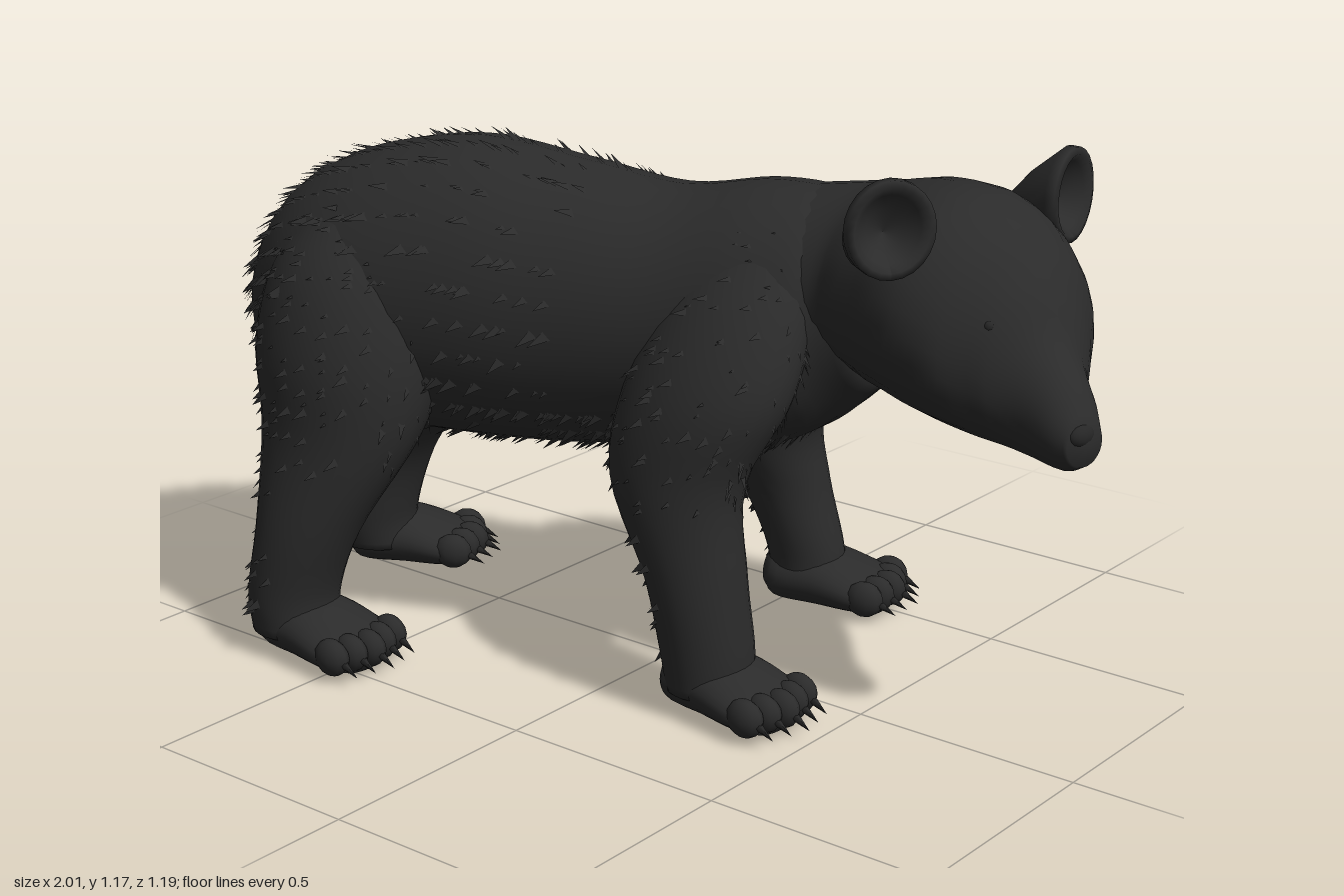
import * as THREE from 'three';
import { mergeGeometries } from 'three/addons/utils/BufferGeometryUtils.js';

const furMat = new THREE.MeshStandardMaterial({ color: 0x2b2b2b, side: THREE.DoubleSide });
furMat.name = 'black fur';
const darkMat = new THREE.MeshStandardMaterial({ color: 0x262626 });
darkMat.name = 'dark skin';

const SIDES = 28;
let seed = 7;
const rand = () => (seed = (seed * 16807) % 2147483647) / 2147483647;

// Smooth skin through oval sections [x, y, z, r1, r2].
// upright: rings lie flat (r1 along x, r2 along z); otherwise they stand
// across the path (r1 vertical, r2 sideways).
function loft(sections, upright, steps = 28) {
  const path = new THREE.CatmullRomCurve3(sections.map(s => new THREE.Vector3(s[0], s[1], s[2])), false, 'catmullrom');
  const radii = new THREE.CatmullRomCurve3(sections.map(s => new THREE.Vector3(s[3], s[4], 0)), false, 'catmullrom');
  const pos = [], idx = [], up = new THREE.Vector3(0, 1, 0);
  const axisAt = t => (upright ? up.clone() : path.getTangent(t).setY(0).normalize());
  for (let i = 0; i <= steps; i++) {
    const t = i / steps, c = path.getPoint(t), r = radii.getPoint(t);
    const u = upright ? new THREE.Vector3(0, 0, 1) : new THREE.Vector3().crossVectors(up, axisAt(t));
    const v = upright ? new THREE.Vector3(1, 0, 0) : up;
    for (let j = 0; j < SIDES; j++) {
      const a = (j / SIDES) * Math.PI * 2;
      const p = c.clone().addScaledVector(u, Math.cos(a) * r.y).addScaledVector(v, Math.sin(a) * r.x);
      pos.push(p.x, p.y, p.z);
    }
  }
  for (let i = 0; i < steps; i++) {
    for (let j = 0; j < SIDES; j++) {
      const a = i * SIDES + j, b = i * SIDES + ((j + 1) % SIDES);
      idx.push(a, b, a + SIDES, b, b + SIDES, a + SIDES);
    }
  }
  // Slightly domed end caps
  [0, 1].forEach(t => {
    const r = radii.getPoint(t);
    const p = path.getPoint(t).addScaledVector(axisAt(t), (t ? 0.3 : -0.3) * Math.min(r.x, r.y));
    const pole = pos.length / 3, base = t * steps * SIDES;
    pos.push(p.x, p.y, p.z);
    for (let j = 0; j < SIDES; j++) {
      const a = base + j, b = base + ((j + 1) % SIDES);
      if (t) idx.push(pole, a, b); else idx.push(pole, b, a);
    }
  });
  const g = new THREE.BufferGeometry();
  g.setAttribute('position', new THREE.Float32BufferAttribute(pos, 3));
  g.setIndex(idx);
  g.computeVertexNormals();
  return g;
}

// Pointed tufts lying backward and down over a skin, where keep(p) allows
function tufts(geo, count, length, keep) {
  const P = geo.attributes.position, N = geo.attributes.normal, out = [];
  const p = new THREE.Vector3(), q = new THREE.Vector3(), n = new THREE.Vector3();
  for (let i = 0; i < count; i++) {
    const k = Math.floor(rand() * (P.count - SIDES - 2));
    p.fromBufferAttribute(P, k).lerp(q.fromBufferAttribute(P, k + SIDES), rand());
    n.fromBufferAttribute(N, k);
    const len = length * (0.6 + 0.8 * rand());
    const flow = new THREE.Vector3(-0.8, -0.6, 0.25 + (rand() - 0.5) * 0.6);
    flow.addScaledVector(n, -flow.dot(n)).normalize();
    if (!keep(p)) continue;
    const side = new THREE.Vector3().crossVectors(flow, n).multiplyScalar(len * 0.28);
    const root = p.clone().addScaledVector(n, -0.006);
    const tip = p.clone().addScaledVector(flow, len).addScaledVector(n, len * 0.38);
    const a = root.clone().add(side), b = root.clone().sub(side);
    out.push(a.x, a.y, a.z, tip.x, tip.y, tip.z, b.x, b.y, b.z);
  }
  const g = new THREE.BufferGeometry();
  g.setAttribute('position', new THREE.Float32BufferAttribute(out, 3));
  g.computeVertexNormals();
  return g;
}

function add(parent, name, geo, mat = furMat) {
  const m = new THREE.Mesh(geo, mat);
  m.name = name;
  parent.add(m);
  return m;
}

// Paw pointing along +x, with five toes and claws
function makePaw(name, x, z, yaw) {
  const paw = new THREE.Group();
  paw.name = name;
  add(paw, 'sole', loft([[-0.1, 0.07, 0, 0.04, 0.05], [-0.065, 0.07, 0, 0.062, 0.085], [0.03, 0.072, 0, 0.066, 0.1],
    [0.12, 0.058, 0, 0.052, 0.108], [0.18, 0.048, 0, 0.036, 0.092]], false, 14));
  const toes = [], claws = [];
  for (let i = -2; i <= 2; i++) {
    const tx = 0.18 - Math.abs(i) * 0.012, tz = i * 0.043;
    toes.push(new THREE.SphereGeometry(0.034, 10, 8).scale(1.3, 1.2, 0.85).translate(tx, 0.06, tz));
    claws.push(new THREE.ConeGeometry(0.012, 0.055, 6).rotateZ(-Math.PI / 2 - 0.5).translate(tx + 0.05, 0.045, tz));
  }
  add(paw, 'toes', mergeGeometries(toes));
  add(paw, 'claws', mergeGeometries(claws), darkMat);
  paw.position.set(x, 0, z);
  paw.rotation.y = yaw;
  return paw;
}

// Cupped round ear, opening along its own +z, its back tapering down into the head
function makeEar(name, x, z, yaw) {
  const profile = [[0, -0.14], [0.035, -0.12], [0.068, -0.065], [0.09, 0], [0.089, 0.02], [0.076, 0.024], [0.062, 0.01],
    [0.04, -0.015], [0, -0.03]].map(([r, y]) => new THREE.Vector2(r, y));
  const geo = new THREE.LatheGeometry(profile, 24).rotateX(Math.PI / 2).scale(1, 1.08, 1);
  const p = geo.attributes.position;
  for (let i = 0; i < p.count; i++) p.setY(i, p.getY(i) + 0.45 * Math.min(0, p.getZ(i)));
  geo.computeVertexNormals();
  const ear = add(new THREE.Group(), name, geo);
  ear.position.set(x, 1.077, z);
  ear.rotation.y = yaw;
  return ear;
}

export function createModel() {
  const bear = new THREE.Group();
  bear.name = 'bear';

  // Torso, running diagonally from rump to chest
  const torso = loft([[-0.93, 0.69, 0.195, 0.08, 0.06], [-0.895, 0.705, 0.196, 0.175, 0.14], [-0.82, 0.745, 0.194, 0.24, 0.212],
    [-0.65, 0.77, 0.175, 0.3, 0.275], [-0.42, 0.785, 0.11, 0.325, 0.27], [-0.2, 0.77, 0.03, 0.305, 0.255],
    [0, 0.765, -0.04, 0.275, 0.25], [0.18, 0.785, -0.1, 0.28, 0.255], [0.32, 0.81, -0.14, 0.245, 0.235],
    [0.44, 0.84, -0.15, 0.17, 0.17]], false, 48);
  add(bear, 'torso', torso);
  add(bear, 'torsoFur', tufts(torso, 2800, 0.038, p =>
    p.x < -0.5 || (p.x < -0.1 && rand() < 0.6) || (p.y < 0.6 && p.x < 0.3)));

  // Neck and head, turned a little to the left
  const head = new THREE.Group();
  head.name = 'head';
  bear.add(head);
  add(head, 'neckAndHead', loft([[0.2, 0.83, -0.13, 0.22, 0.22], [0.4, 0.885, -0.16, 0.195, 0.218], [0.55, 0.892, -0.138, 0.222, 0.237],
    [0.67, 0.883, -0.108, 0.228, 0.245], [0.77, 0.85, -0.08, 0.205, 0.205], [0.84, 0.805, -0.055, 0.165, 0.138],
    [0.89, 0.755, -0.036, 0.12, 0.09], [0.95, 0.715, -0.015, 0.083, 0.064], [0.985, 0.695, -0.003, 0.046, 0.043]], false, 40));
  head.add(makeEar('leftEar', 0.622, 0.128, Math.PI / 2 - 0.62));
  head.add(makeEar('rightEar', 0.738, -0.315, Math.PI / 2 + 0.08));
  add(head, 'nose', new THREE.SphereGeometry(0.034, 16, 12).scale(0.75, 0.8, 1.1), darkMat).position.set(0.972, 0.712, -0.005);
  [[0.795, 0.042], [0.863, -0.147]].forEach(([x, z], i) =>
    add(head, i ? 'rightEye' : 'leftEye', new THREE.SphereGeometry(0.013, 12, 8), darkMat).position.set(x, 0.9, z));

  // Legs as stacked ovals from ankle to shoulder or hip, with their paws
  const legs = {
    leftFront: { paw: [0.245, 0.165, -0.05], rings: [[0.24, 0.06, 0.17, 0.09, 0.095], [0.235, 0.15, 0.175, 0.098, 0.1],
      [0.215, 0.3, 0.187, 0.108, 0.103], [0.165, 0.5, 0.185, 0.153, 0.112], [0.205, 0.68, 0.135, 0.188, 0.135],
      [0.225, 0.85, 0.06, 0.16, 0.12], [0.23, 1, -0.03, 0.09, 0.07]] },
    rightFront: { paw: [0.055, -0.445, 0.27], rings: [[0.05, 0.06, -0.44, 0.09, 0.08], [0.04, 0.15, -0.435, 0.09, 0.085],
      [0, 0.3, -0.41, 0.1, 0.105], [-0.02, 0.45, -0.365, 0.122, 0.145], [0.04, 0.62, -0.335, 0.178, 0.155],
      [0.12, 0.8, -0.29, 0.188, 0.165], [0.18, 0.97, -0.215, 0.12, 0.125]] },
    leftHind: { paw: [-0.62, 0.475, 0], rings: [[-0.65, 0.06, 0.48, 0.1, 0.095], [-0.655, 0.15, 0.48, 0.1, 0.1],
      [-0.62, 0.3, 0.46, 0.122, 0.108], [-0.59, 0.5, 0.385, 0.192, 0.145], [-0.6, 0.68, 0.33, 0.225, 0.19],
      [-0.61, 0.85, 0.27, 0.195, 0.198], [-0.61, 0.99, 0.2, 0.115, 0.155]] },
    rightHind: { paw: [-0.865, -0.04, 0.55], rings: [[-0.885, 0.06, -0.01, 0.095, 0.09], [-0.89, 0.15, 0, 0.105, 0.1],
      [-0.85, 0.3, -0.005, 0.12, 0.107], [-0.765, 0.47, 0.02, 0.165, 0.13], [-0.71, 0.65, 0.05, 0.205, 0.165],
      [-0.69, 0.85, 0.1, 0.18, 0.16]] },
  };
  for (const [name, { paw, rings }] of Object.entries(legs)) {
    const leg = new THREE.Group();
    leg.name = name + 'Leg';
    const limb = loft(rings, true);
    add(leg, 'limb', limb);
    add(leg, 'limbFur', tufts(limb, 500, 0.03, p => p.y > 0.12 && (p.y > 0.45 || (p.x < rings[2][0] && rand() < 0.5))));
    leg.add(makePaw(name + 'Paw', ...paw));
    bear.add(leg);
  }
  return bear;
}
